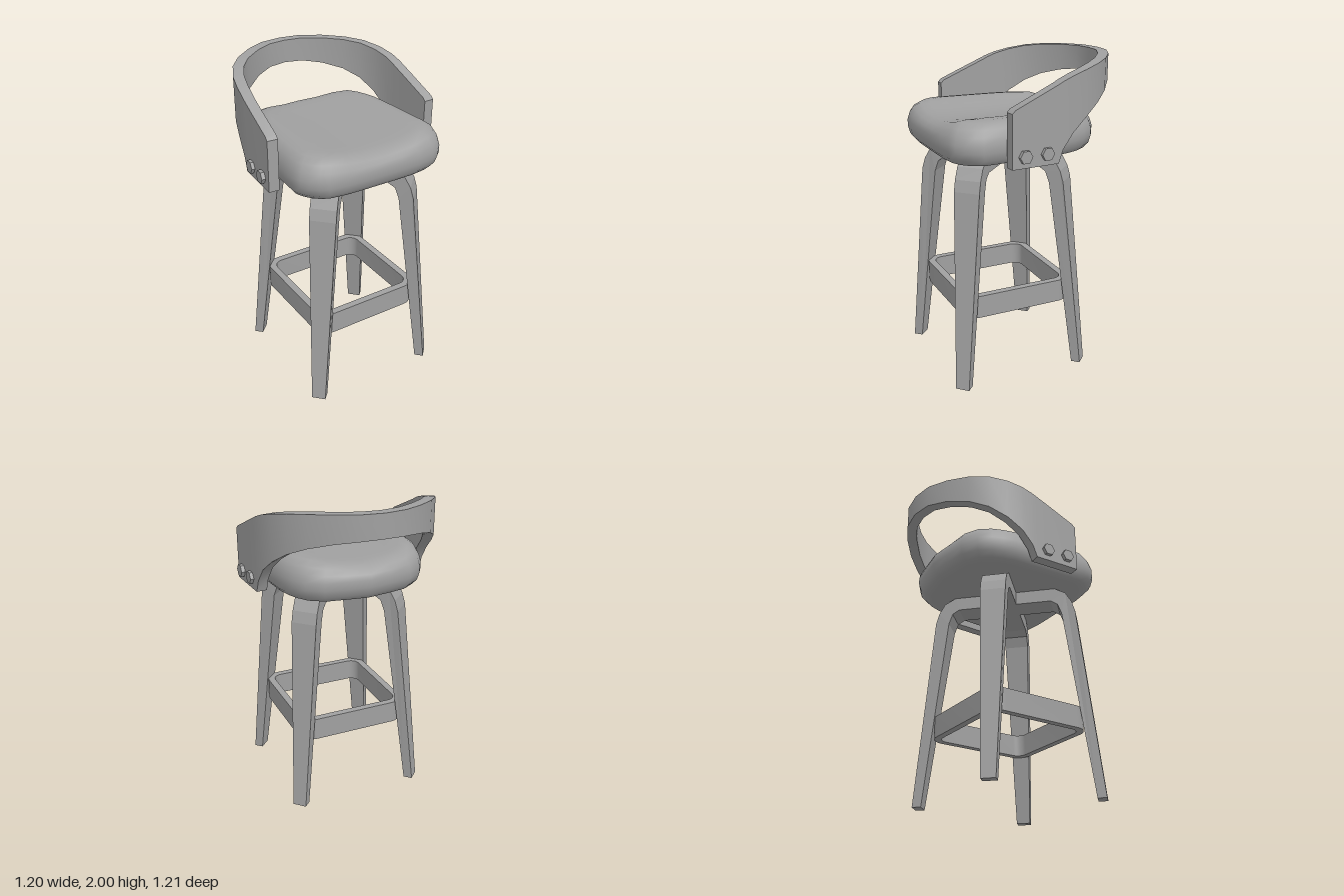
import * as THREE from 'three';
import { toCreasedNormals } from 'three/addons/utils/BufferGeometryUtils.js';

const material = new THREE.MeshStandardMaterial({ color: 0xa0a0a0 });
const BASE_Z = 0.13; // the legs cross here

function part(name, geometry, parent) {
  const mesh = new THREE.Mesh(geometry, material);
  mesh.name = name;
  parent.add(mesh);
  return mesh;
}

// Skin closed rings of points [x, y, z] and cap both ends with a fan
function loft(rings) {
  const n = rings[0].length;
  const positions = rings.flat(2);
  const index = [];
  for (let i = 0; i < rings.length - 1; i++) {
    for (let j = 0; j < n; j++) {
      const k = (j + 1) % n;
      const a = i * n + j, b = i * n + k, c = b + n, d = a + n;
      index.push(a, b, c, a, c, d);
    }
  }
  const cap = (r, flip) => {
    const centre = positions.length / 3;
    for (let q = 0; q < 3; q++) positions.push(rings[r].reduce((s, p) => s + p[q], 0) / n);
    for (let j = 0; j < n; j++) {
      const a = r * n + j, b = r * n + (j + 1) % n;
      index.push(centre, flip ? b : a, flip ? a : b);
    }
  };
  cap(0, true);
  cap(rings.length - 1, false);
  const geometry = new THREE.BufferGeometry();
  geometry.setAttribute('position', new THREE.Float32BufferAttribute(positions, 3));
  geometry.setIndex(index);
  geometry.computeVertexNormals();
  return geometry;
}

// Cushion: the plan outline stacked in insets, with a shallow hollow along the middle
function seatGeometry() {
  const half = [[0, 0.6], [0.13, 0.6], [0.25, 0.597], [0.36, 0.582], [0.41, 0.56], [0.455, 0.52], [0.485, 0.475],
    [0.506, 0.425], [0.5, 0.3], [0.492, 0.15], [0.482, 0], [0.472, -0.12], [0.452, -0.2], [0.425, -0.27],
    [0.375, -0.345], [0.28, -0.407], [0.14, -0.432], [0, -0.453]];
  const outline = [...half, ...half.slice(1, -1).reverse().map(([x, z]) => [-x, z])];
  const levels = [[0.5, 1.43], [0.085, 1.43], [0.04, 1.442], [0.012, 1.475], [0, 1.52], [0, 1.565], [0.012, 1.61],
    [0.035, 1.65], [0.075, 1.678], [0.13, 1.685], [0.2, 1.685], [0.3, 1.685], [0.4, 1.685], [0.47, 1.685]];
  const cz = 0.09;
  return loft(levels.map(([inset, y]) => outline.map(([x, z]) => {
    const k = 1 - inset / 0.51;
    const hollow = Math.max(0, 1 - (x * k / 0.32) ** 2) * THREE.MathUtils.clamp((y - 1.57) / 0.1, 0, 1);
    return [x * k, y - 0.037 * hollow, cz + (z - cz) * k];
  })));
}

// Bent band that sweeps from one arm over the back to the other arm
function backrestGeometry() {
  // outer x, z, bottom y, top y
  const half = [[0.58, 0.285, 1.43, 1.75], [0.579, 0.265, 1.43, 1.77], [0.57, 0.08, 1.43, 1.85],
    [0.564, -0.02, 1.43, 1.893], [0.561, -0.05, 1.51, 1.907], [0.552, -0.12, 1.6, 1.932],
    [0.528, -0.215, 1.675, 1.956], [0.475, -0.325, 1.745, 1.978], [0.39, -0.425, 1.795, 1.99],
    [0.27, -0.518, 1.83, 1.997], [0.14, -0.585, 1.848, 2], [0, -0.605, 1.853, 2]];
  const path = [...half, ...half.slice(0, -1).reverse().map(([x, ...rest]) => [-x, ...rest])];
  const thickness = 0.066;
  const rings = path.map(([x, z, low, high], i) => {
    const p = path[Math.max(i - 1, 0)], q = path[Math.min(i + 1, path.length - 1)];
    const length = Math.hypot(q[0] - p[0], q[1] - p[1]);
    const ix = x + (q[1] - p[1]) / length * thickness;
    const iz = z - (q[0] - p[0]) / length * thickness;
    return [[x, high, z], [x, low, z], [ix, low, iz], [ix, high, iz]];
  });
  return toCreasedNormals(loft(rings), 0.6);
}

// One bent arch makes a pair of opposite legs, narrowing towards the feet
function legArchGeometry() {
  const outer = [[0.605, 0], [0.475, 1.25], [0.455, 1.32], [0.415, 1.39], [0.335, 1.435]]; // foot to top
  const inner = [[0.315, 1.34], [0.36, 1.31], [0.385, 1.24], [0.547, 0]]; // top to foot
  const mirrored = (list) => list.map(([r, y]) => [-r, y]).reverse();
  const contour = [...outer, ...mirrored(outer), ...mirrored(inner), ...inner];
  const shape = new THREE.Shape(contour.map(([r, y]) => new THREE.Vector2(r, y)));
  const geometry = new THREE.ExtrudeGeometry(shape, { depth: 2, bevelEnabled: false }).translate(0, 0, -1);
  const pos = geometry.attributes.position;
  for (let i = 0; i < pos.count; i++) {
    const t = Math.min(pos.getY(i) / 1.25, 1);
    pos.setZ(i, pos.getZ(i) * THREE.MathUtils.lerp(0.044, 0.081, t));
  }
  geometry.computeVertexNormals();
  return geometry;
}

function roundedSquare(target, a, c) {
  const s = a - c;
  target.moveTo(a, -s);
  [[s, s], [-s, s], [-s, -s], [s, -s]].forEach(([cx, cy], i) => {
    target.absarc(cx, cy, c, i * Math.PI / 2, (i + 1) * Math.PI / 2, false);
  });
  return target;
}

// Footrest: a rounded square hoop held inside the legs
function footrestGeometry() {
  const shape = roundedSquare(new THREE.Shape(), 0.37, 0.1);
  shape.holes.push(roundedSquare(new THREE.Path(), 0.325, 0.06));
  const hoop = new THREE.ExtrudeGeometry(shape, { depth: 0.145, bevelEnabled: false, curveSegments: 5 });
  return toCreasedNormals(hoop.rotateX(-Math.PI / 2), 0.6);
}

export function createModel() {
  const model = new THREE.Group();
  model.name = 'barStool';

  part('seat', seatGeometry(), model);
  part('backrest', backrestGeometry(), model);

  const arch = legArchGeometry();
  for (const s of [1, -1]) {
    const legs = part('legPair', arch, model);
    legs.rotation.y = s * Math.PI / 4;
    legs.position.z = BASE_Z;
  }

  part('footrest', footrestGeometry(), model).position.set(0, 0.44, BASE_Z);

  // Hexagonal bolt heads, square to the outside of both arms
  const bolt = toCreasedNormals(new THREE.CylinderGeometry(0.041, 0.041, 0.04, 6).rotateZ(Math.PI / 2), 0.3);
  for (const s of [1, -1]) {
    for (const [x, z] of [[0.58, 0.205], [0.57, 0.06]]) {
      const head = part('bolt', bolt, model);
      head.position.set(s * x, 1.5, z);
      head.rotation.y = s * 0.05;
    }
  }
  return model;
}
